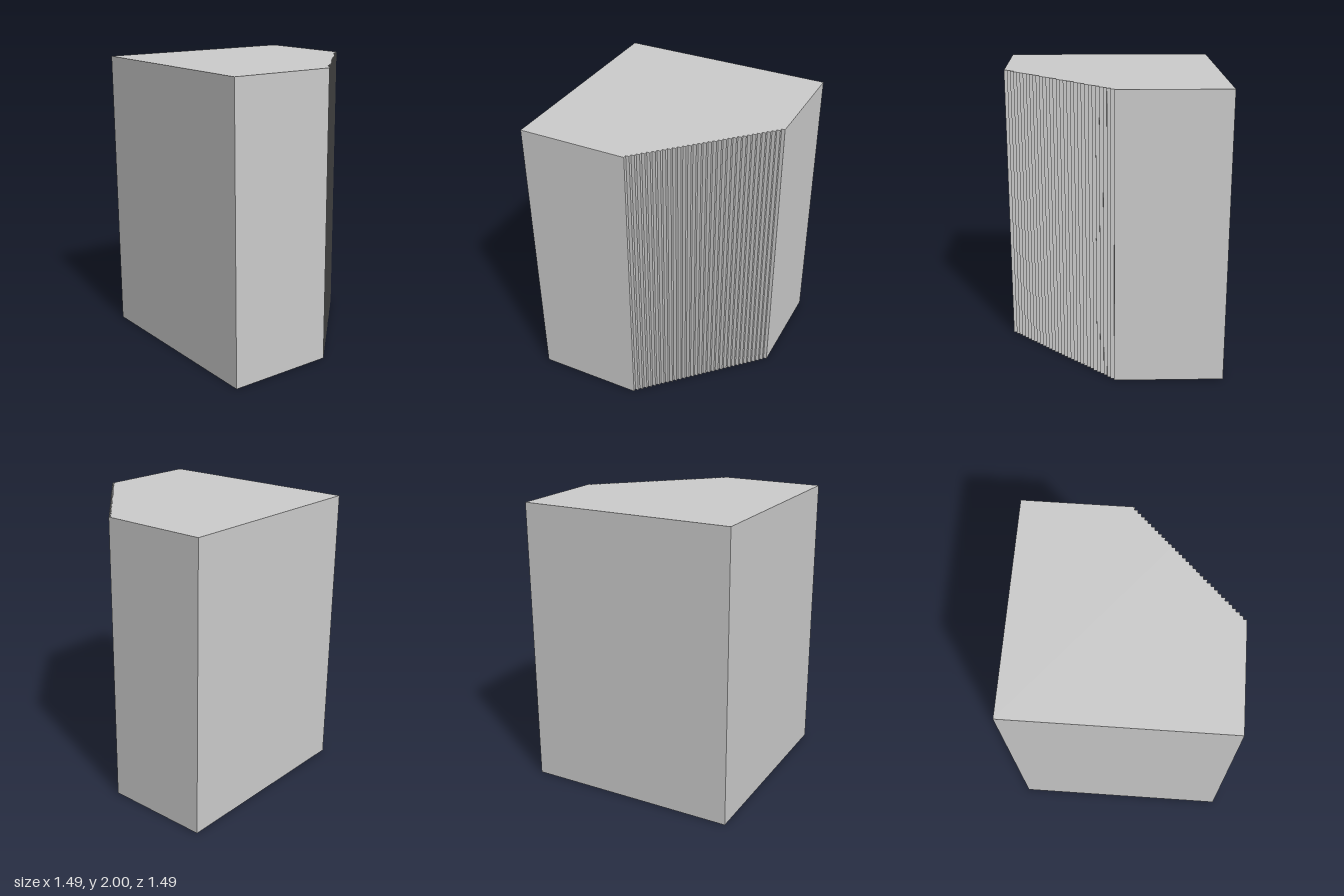
import * as THREE from 'three';

const HEIGHT = 2;
const STEPS = 32;            // stair steps along the cut corner
const HALF = 0.744;          // half of the square footprint
const STEP = HALF / STEPS;

// Square footprint with the back left corner cut off in fine steps (shape y = -z)
function footprint() {
  const shape = new THREE.Shape();
  shape.moveTo(-HALF, -HALF);
  shape.lineTo(HALF, -HALF);
  shape.lineTo(HALF, 0);
  for (let i = STEPS - 1; i >= 0; i--) {
    const y = HALF - (i + 1) * STEP;
    shape.lineTo(i * STEP, y);
    shape.lineTo(i * STEP, y + STEP);
  }
  shape.lineTo(-HALF, HALF);
  shape.closePath();
  return shape;
}

export function createModel() {
  const group = new THREE.Group();
  group.name = 'steppedBlock';

  // Upright block with flat sides
  const geometry = new THREE.ExtrudeGeometry(footprint(), { depth: HEIGHT, bevelEnabled: false });
  geometry.rotateX(-Math.PI / 2);
  const block = new THREE.Mesh(
    geometry,
    new THREE.MeshStandardMaterial({ color: 0xcccccc, flatShading: true })
  );
  block.name = 'block';
  group.add(block);

  return group;
}
